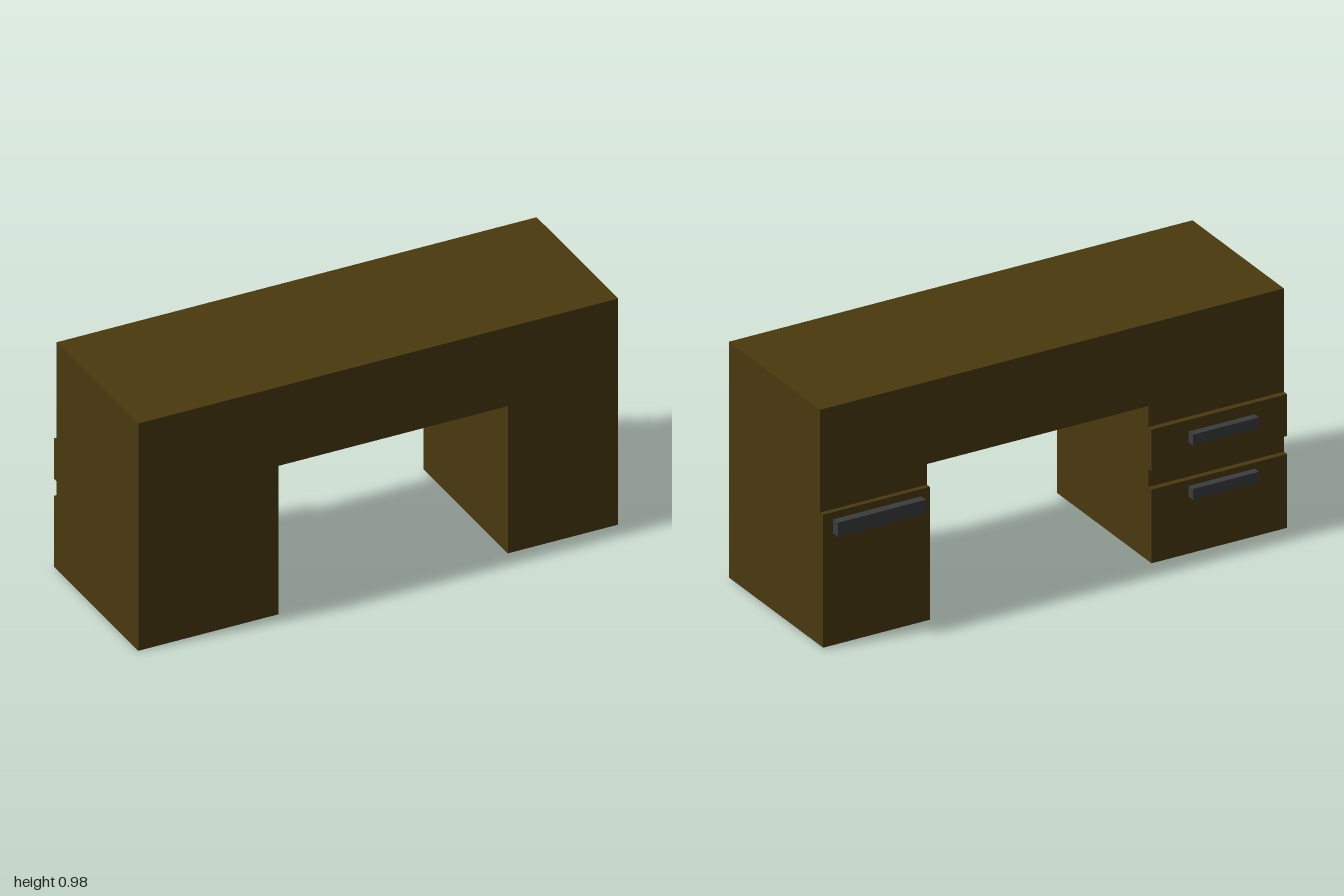
import * as THREE from 'three';

export function createModel() {
  const desk = new THREE.Group();
  desk.name = 'desk';
  const wood = new THREE.MeshStandardMaterial({ color: 0x4a390e });
  const metal = new THREE.MeshStandardMaterial({ color: 0x3a3b3d });

  // Box given by its limits on each axis
  function box(name, material, [x0, x1], [y0, y1], [z0, z1]) {
    const mesh = new THREE.Mesh(new THREE.BoxGeometry(x1 - x0, y1 - y0, z1 - z0), material);
    mesh.position.set((x0 + x1) / 2, (y0 + y1) / 2, (z0 + z1) / 2);
    mesh.name = name;
    desk.add(mesh);
  }

  // Body: top and two pedestals as one arch, with the knee hole running through
  const outline = [[-1, 0], [-0.415, 0], [-0.415, 0.64], [0.54, 0.64],
    [0.54, 0.005], [1, 0.005], [1, 0.98], [-1, 0.98]];
  const shape = new THREE.Shape(outline.map(([x, y]) => new THREE.Vector2(x, y)));
  const body = new THREE.Mesh(
    new THREE.ExtrudeGeometry(shape, { depth: 0.665, bevelEnabled: false }), wood);
  body.position.z = -0.305;
  body.name = 'body';
  desk.add(body);

  // Door and long handle on the left pedestal
  box('leftDoor', wood, [0.54, 1], [0.005, 0.555], [-0.326, -0.305]);
  box('leftHandle', metal, [0.577, 0.957], [0.467, 0.525], [-0.36, -0.326]);

  // Two drawers with short handles on the right pedestal
  const drawers = [
    { name: 'lowerDrawer', y: [0, 0.305], grip: [0.235, 0.28] },
    { name: 'upperDrawer', y: [0.38, 0.553], grip: [0.46, 0.505] },
  ];
  for (const { name, y, grip } of drawers) {
    box(name, wood, [-1, -0.415], y, [-0.329, -0.305]);
    box(name + 'Handle', metal, [-0.86, -0.575], grip, [-0.36, -0.329]);
  }

  return desk;
}
